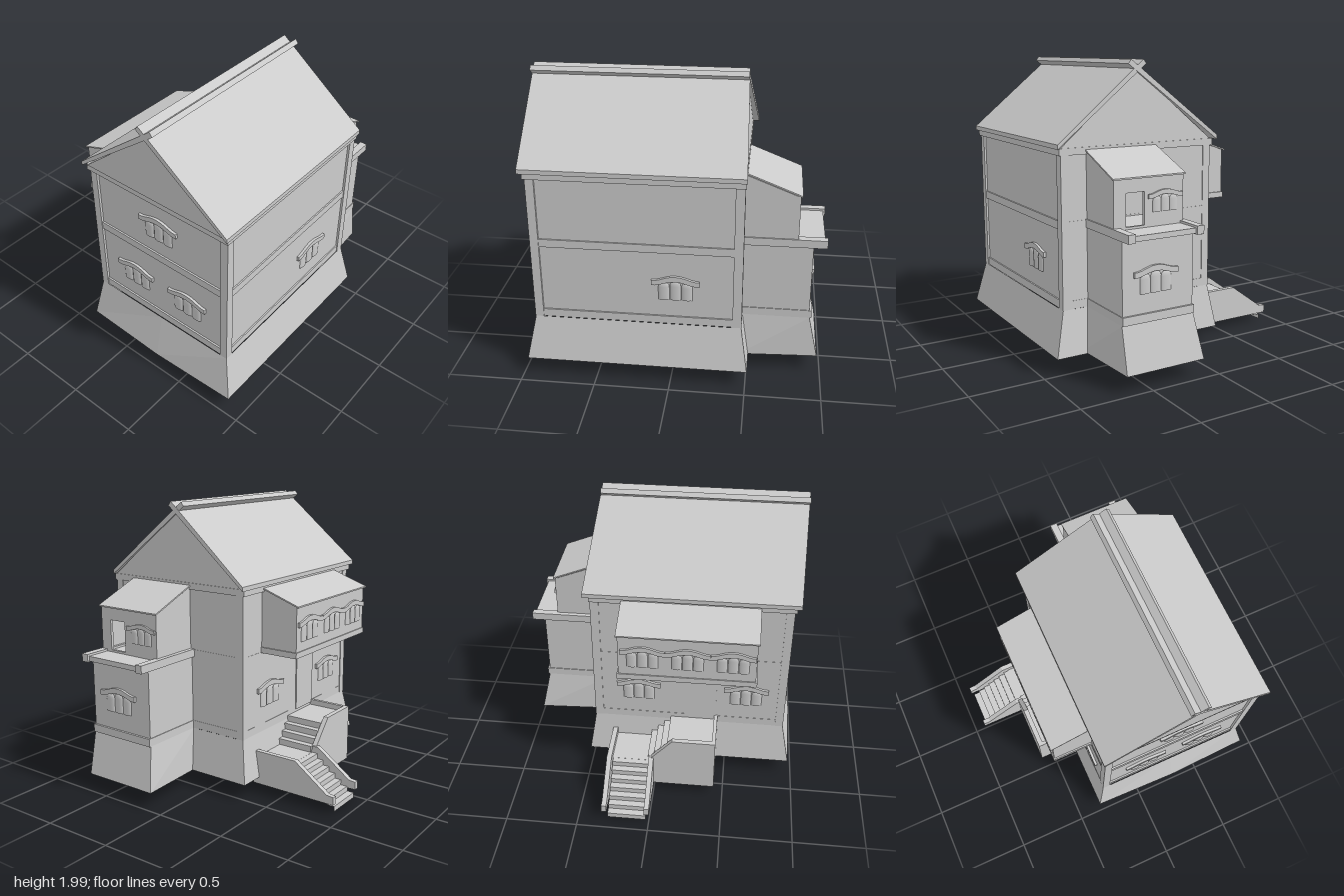
import * as THREE from 'three';

const mat = new THREE.MeshStandardMaterial({ color: 0xcccccc, flatShading: true, side: THREE.DoubleSide });
const smooth = new THREE.MeshStandardMaterial({ color: 0xcccccc, side: THREE.DoubleSide });

export function createModel() {
  const root = new THREE.Group();
  root.name = 'house';

  function add(name, geo, parent = root, m = mat) {
    const mesh = new THREE.Mesh(geo, m);
    mesh.name = name;
    parent.add(mesh);
    return mesh;
  }
  // Box given by its limits
  function box(name, x0, x1, y0, y1, z0, z1) {
    const g = new THREE.BoxGeometry(x1 - x0, y1 - y0, z1 - z0);
    g.translate((x0 + x1) / 2, (y0 + y1) / 2, (z0 + z1) / 2);
    return add(name, g);
  }
  // Skin between two matching loops, counter-clockwise seen from above
  function loft(name, low, high, capped = true) {
    const v = [];
    const n = low.length;
    const tri = (...p) => p.forEach(q => v.push(...q));
    for (let i = 0; i < n; i++) {
      const j = (i + 1) % n;
      tri(low[i], low[j], high[j]);
      tri(low[i], high[j], high[i]);
      if (capped && i > 0 && i < n - 1) {
        tri(high[0], high[i], high[i + 1]);
        tri(low[0], low[i + 1], low[i]);
      }
    }
    const g = new THREE.BufferGeometry();
    g.setAttribute('position', new THREE.Float32BufferAttribute(v, 3));
    g.computeVertexNormals();
    return add(name, g);
  }
  // Rectangle loop with an optional bowed front edge
  const rect = (x0, x1, y, z0, z1, bow = 0) =>
    [[x0, y, z1], [(x0 + x1) / 2, y, z1 + bow], [x1, y, z1], [x1, y, z0], [x0, y, z0]];
  const vectors = pts => pts.map(p => new THREE.Vector2(...p));
  // Side profile in (x, y), extruded from z0 to z1
  function profileZ(name, pts, z0, z1) {
    const g = new THREE.ExtrudeGeometry(new THREE.Shape(vectors(pts)), { depth: z1 - z0, bevelEnabled: false });
    g.translate(0, 0, z0);
    return add(name, g);
  }
  // Side profile in (z, y), extruded from x0 to x1
  function profileX(name, pts, x0, x1) {
    const s = new THREE.Shape(vectors(pts.map(([z, y]) => [-z, y])));
    const g = new THREE.ExtrudeGeometry(s, { depth: x1 - x0, bevelEnabled: false });
    g.rotateY(Math.PI / 2);
    g.translate(x0, 0, 0);
    return add(name, g);
  }
  // Thin zigzag sheet of stairs; place(along, y, side) gives each point
  function stairs(name, steps, start, run, y0, rise, place) {
    const g = new THREE.PlaneGeometry(1, 1, 1, steps * 2);
    for (let r = 0; r <= steps * 2; r++)
      for (let c = 0; c < 2; c++)
        g.attributes.position.setXYZ(r * 2 + c, ...place(start + Math.floor(r / 2) * run, y0 + Math.ceil(r / 2) * rise, c));
    g.computeVertexNormals();
    return add(name, g);
  }

  // Flared plinths, open below
  loft('plinth', rect(-0.33, 0.91, 0.12, -0.51, 0.97, 0.018), rect(-0.282, 0.843, 0.42, -0.463, 0.91), false);
  loft('annexPlinth',
    [[0.13, 0.12, -0.45], [0.7, 0.12, -0.45], [0.67, 0.12, -0.975], [0.105, 0.12, -0.975]],
    [[0.15, 0.42, -0.45], [0.67, 0.42, -0.45], [0.67, 0.42, -0.91], [0.15, 0.42, -0.91]], false);

  // Main walls; timber frame stands proud on the front and left sides
  box('walls', -0.28, 0.83, 0.42, 1.45, -0.46, 0.895);
  for (const [x0, x1] of [[-0.285, -0.23], [0.79, 0.845]])
    for (const [z0, z1] of [[-0.465, -0.405], [0.855, 0.912]]) box('cornerPost', x0, x1, 0.42, 1.45, z0, z1);
  for (const [y0, y1] of [[0.42, 0.475], [0.94, 0.995]])
    box('wallBeam', -0.282, 0.84, y0, y1, -0.462, 0.907);
  box('eaveBeam', -0.3, 0.855, 1.415, 1.46, -0.47, 0.925);

  // Gable wall and roof slabs that cross at the ridge
  loft('gable',
    [[-0.29, 1.455, 0.93], [0.85, 1.455, 0.93], [0.85, 1.455, -0.465], [-0.29, 1.455, -0.465]],
    [[0.275, 1.925, 0.955], [0.285, 1.925, 0.955], [0.285, 1.925, -0.44], [0.275, 1.925, -0.44]]);
  function roofSlab(name, ex, rx, zBack) {
    const ey = 1.455, ry = 1.97;
    const s = Math.sign(rx - ex);
    const low = [[ex, ey, 0.952], [rx, ry, 0.977], [rx, ry, -0.45], [ex, ey, zBack]];
    const high = [[ex, ey + 0.03, 0.952], [rx - s * 0.022, ry + 0.028, 0.977], [rx - s * 0.022, ry + 0.028, -0.45], [ex, ey + 0.03, zBack]];
    if (s < 0) [low, high].forEach(l => l.reverse());
    loft(name, low, high);
  }
  roofSlab('roofRight', -0.315, 0.35, -0.51);
  roofSlab('roofLeft', 0.868, 0.215, -0.475);

  // Rear annex, balcony and upper room
  box('annex', 0.155, 0.665, 0.42, 0.96, -0.907, -0.4);
  box('annexBeam', 0.15, 0.67, 0.42, 0.475, -0.922, -0.4);
  box('balcony', 0.15, 0.66, 0.95, 0.985, -0.98, -0.4);
  for (const x of [0.133, 0.622]) box('balconyBeam', x, x + 0.052, 0.945, 1, -0.995, -0.46);
  const lean = [[-0.79, 0.98], [-0.4, 0.98], [-0.4, 1.44], [-0.46, 1.43], [-0.79, 1.3]];
  for (const x of [0.165, 0.645]) profileX('roomSide', lean, x, x + 0.02);
  const back = new THREE.Shape(vectors([[0.165, 0.98], [0.665, 0.98], [0.665, 1.3], [0.165, 1.3]]));
  back.holes.push(new THREE.Path(vectors([[0.45, 1], [0.45, 1.21], [0.58, 1.21], [0.58, 1]])));
  add('roomBack', new THREE.ExtrudeGeometry(back, { depth: 0.02, bevelEnabled: false })).position.z = -0.808;
  profileX('roomRoof', [[-0.82, 1.295], [-0.455, 1.44], [-0.455, 1.45], [-0.82, 1.305]], 0.155, 0.675);

  // Side bay
  profileZ('bay', [[-0.558, 1], [-0.26, 1], [-0.26, 1.43], [-0.3, 1.43], [-0.558, 1.34]], -0.24, 0.68);
  box('bayBeam', -0.565, -0.27, 0.99, 1.03, -0.25, 0.69);
  profileZ('bayRoof', [[-0.575, 1.335], [-0.28, 1.437], [-0.28, 1.447], [-0.575, 1.345]], -0.25, 0.69);
  box('entranceDoor', -0.288, -0.26, 0.46, 0.96, 0.2, 0.42);

  // Lower flight between two side walls
  stairs('lowerSteps', 7, -0.905, 0.048, 0.005, 0.037, (x, y, c) => [x, y, c ? -0.025 : -0.295]);
  const rail = [[-0.92, 0.07], [-0.57, 0.07], [-0.57, 0.31], [-0.62, 0.31], [-0.87, 0.13], [-0.92, 0.125]];
  profileZ('stairWallFront', rail, -0.035, 0);
  profileZ('stairWallBack', rail, -0.335, -0.3);
  box('landingWall', -0.57, -0.28, 0.07, 0.31, -0.335, -0.3);

  // Landing, upper flight and entrance platform
  box('landing', -0.575, -0.28, 0.25, 0.265, -0.3, -0.04);
  stairs('upperSteps', 4, -0.045, 0.046, 0.265, 0.044, (z, y, c) => [c ? -0.28 : -0.57, y, z]);
  box('platform', -0.57, -0.28, 0.07, 0.441, 0.135, 0.42);
  profileX('platformWall', [[-0.02, 0.07], [0.435, 0.07], [0.435, 0.48], [0.13, 0.48], [-0.02, 0.31]], -0.6, -0.565);
  box('platformFront', -0.6, -0.27, 0.07, 0.48, 0.41, 0.435);

  // Windows: three arched panes under a curved hood
  const paneProfile = vectors([[0.037, 0], [0.037, 0.1], [0.034, 0.118], [0.025, 0.13], [0.013, 0.136], [0, 0.138]]);
  const paneGeo = new THREE.LatheGeometry(paneProfile, 10, -Math.PI / 2, Math.PI);
  paneGeo.scale(1, 1, 0.4);
  const hood = new THREE.Shape();
  hood.moveTo(-0.157, 0.108);
  hood.lineTo(-0.157, 0.143);
  hood.bezierCurveTo(-0.1, 0.14, -0.07, 0.175, 0, 0.175);
  hood.bezierCurveTo(0.07, 0.175, 0.1, 0.14, 0.157, 0.143);
  hood.lineTo(0.157, 0.108);
  hood.bezierCurveTo(0.1, 0.105, 0.07, 0.138, 0, 0.138);
  hood.bezierCurveTo(-0.07, 0.138, -0.1, 0.105, -0.157, 0.108);
  const hoodGeo = new THREE.ExtrudeGeometry(hood, { depth: 0.02, bevelEnabled: false, curveSegments: 6 });
  function windowAt(x, y, z, turn, scale = 1) {
    const w = new THREE.Group();
    w.name = 'window';
    for (const i of [-1, 0, 1]) {
      const p = add('pane', paneGeo, w, smooth);
      p.position.x = i * 0.076;
      p.scale.y = i ? 0.92 : 1;
    }
    add('hood', hoodGeo, w);
    w.position.set(x, y, z);
    w.rotation.y = turn;
    w.scale.setScalar(scale);
    root.add(w);
  }
  const half = Math.PI / 2;
  windowAt(0.055, 0.6, 0.893, 0);
  windowAt(0.505, 0.6, 0.893, 0);
  windowAt(0.28, 1.112, 0.893, 0);
  windowAt(0.828, 0.6, -0.03, half);
  windowAt(0.43, 0.6, -0.905, Math.PI);
  windowAt(0.3, 1.075, -0.806, Math.PI, 0.8);
  for (const z of [-0.14, 0.63]) windowAt(-0.278, 0.6, z, -half);
  for (const z of [-0.075, 0.225, 0.525]) windowAt(-0.555, 1.095, z, -half, 0.95);

  return root;
}
